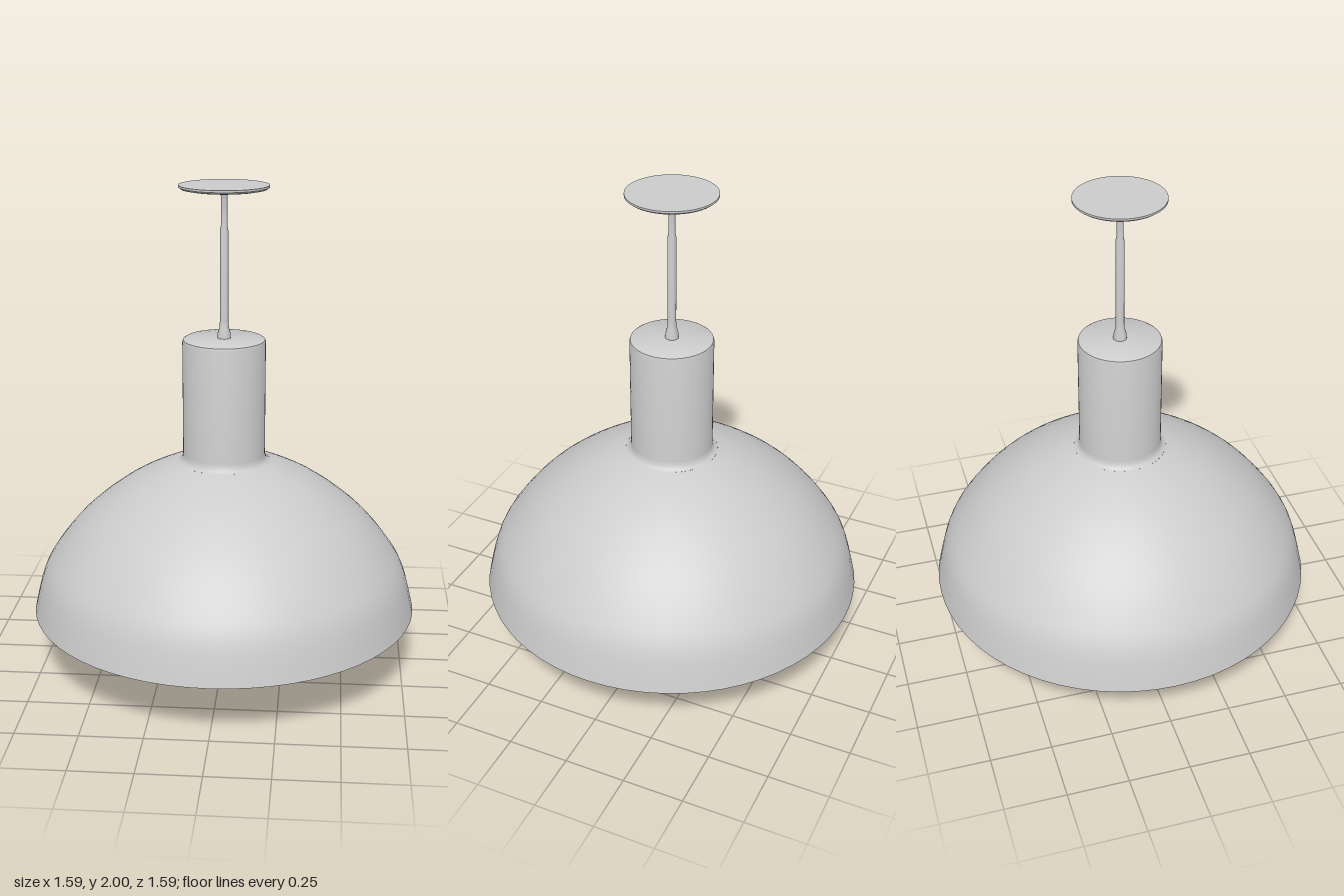
import * as THREE from 'three';
import { toCreasedNormals } from 'three/addons/utils/BufferGeometryUtils.js';

const material = new THREE.MeshStandardMaterial({ color: 0xcccccc });

// Turned part: profile of [radius, y], outer side listed from bottom to top
function turned(name, profile, segments = 56) {
  const points = profile.map(([r, y]) => new THREE.Vector2(r, y));
  const geometry = toCreasedNormals(new THREE.LatheGeometry(points, segments), 0.7);
  const mesh = new THREE.Mesh(geometry, material);
  mesh.name = name;
  return mesh;
}

export function createModel() {
  const lamp = new THREE.Group();
  lamp.name = 'pendantLamp';

  // Dome shade: smooth outer curve, with a thin inner wall following it
  const curve = new THREE.SplineCurve([
    [0.795, 0.245], [0.753, 0.405], [0.69, 0.512], [0.6, 0.62],
    [0.5, 0.708], [0.39, 0.785], [0.27, 0.846], [0.19, 0.876],
  ].map(([x, y]) => new THREE.Vector2(x, y)));
  const outer = curve.getPoints(28).map((p) => [p.x, p.y]);
  const inner = outer.map(([r, y], i) => [r - 0.012, i ? y - 0.012 : y]).reverse();
  lamp.add(turned('shade', [[0, 0.866], ...inner, ...outer], 64));

  // Cylindrical neck with a fillet into the shade and a rounded top edge
  lamp.add(turned('neck', [
    [0.19, 0.876], [0.178, 0.882], [0.171, 0.893], [0.168, 0.91],
    [0.168, 1.375], [0.165, 1.385], [0.157, 1.39], [0, 1.391],
  ]));

  // Hanging rod, flared at both ends
  lamp.add(turned('rod', [
    [0.027, 1.385], [0.026, 1.41], [0.019, 1.435], [0.017, 1.46],
    [0.017, 1.82], [0.013, 1.84], [0.013, 1.955], [0.018, 1.972], [0.03, 1.982],
  ], 24));

  // Ceiling plate
  lamp.add(turned('ceilingPlate', [
    [0, 1.979], [0.15, 1.981], [0.17, 1.985], [0.179, 1.992], [0.179, 2], [0, 2],
  ]));

  // Bulb socket with a narrowed collar
  lamp.add(turned('socket', [
    [0.085, 0.47], [0.092, 0.5], [0.085, 0.515], [0.085, 0.525],
    [0.097, 0.545], [0.097, 0.87],
  ], 32));

  // Round bulb
  const bulb = new THREE.Mesh(new THREE.SphereGeometry(0.25, 48, 32), material);
  bulb.name = 'bulb';
  bulb.position.y = 0.25;
  lamp.add(bulb);

  return lamp;
}
